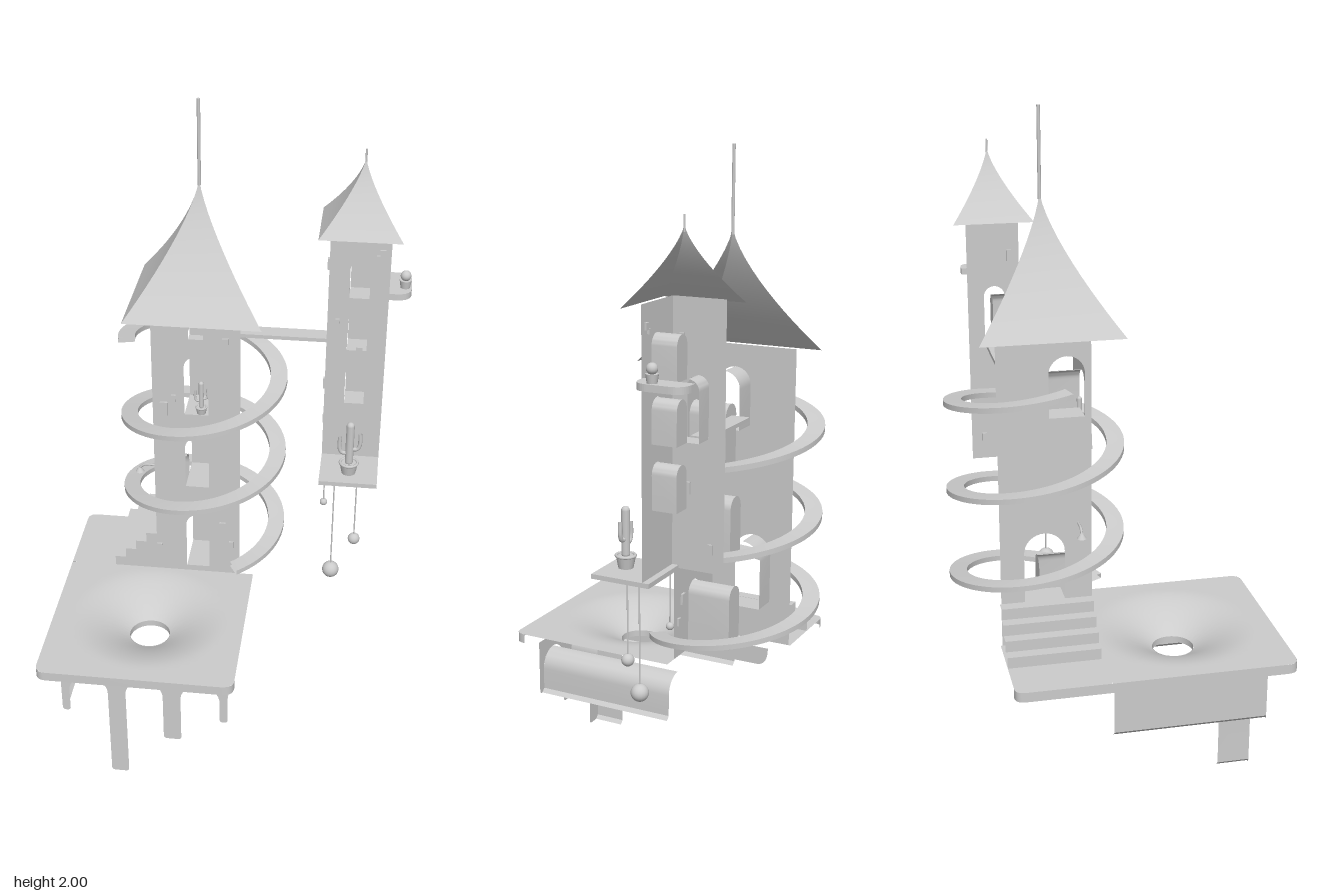
import * as THREE from 'three';
import { toCreasedNormals } from 'three/addons/utils/BufferGeometryUtils.js';

const grey = new THREE.MeshStandardMaterial({ color: 0xcccccc, side: THREE.DoubleSide });
const V = (x, y, z) => new THREE.Vector3(x, y, z);

function add(parent, name, geo, x = 0, y = 0, z = 0) {
  const mesh = new THREE.Mesh(geo, grey);
  mesh.name = name;
  mesh.position.set(x, y, z);
  parent.add(mesh);
  return mesh;
}

// Surface through rows of points
function grid(rows, crease = 0.6) {
  const n = rows[0].length, index = [];
  for (let i = 0; i < rows.length - 1; i++) for (let j = 0; j < n - 1; j++) {
    const a = i * n + j, b = a + n;
    index.push(a, b, a + 1, a + 1, b, b + 1);
  }
  const geo = new THREE.BufferGeometry().setFromPoints(rows.flat());
  geo.setIndex(index);
  geo.computeVertexNormals();
  return toCreasedNormals(geo, crease);
}

// Polyline swept along a direction
const sheet = (pts, dir) => grid([pts, pts.map(p => p.clone().add(dir))]);

// Arch outline: sill, one jamb, round head, other jamb
function archPoints(u, y0, y1, hw, full, side = 1) {
  const pts = [[u - side * hw, y0], [u + side * hw, y0]];
  const steps = full ? 16 : 8;
  for (let i = 0; i <= steps; i++) {
    const a = i / 16 * Math.PI;
    pts.push([u + side * hw * Math.cos(a), y1 - hw + hw * Math.sin(a)]);
  }
  return pts.map(p => new THREE.Vector2(...p));
}

// Wall in the local xy plane with arched openings; only one jamb of each recess is built
function wall(parent, name, u0, u1, y0, y1, openings, side) {
  const g = new THREE.Group();
  g.name = name;
  const shape = new THREE.Shape([[u0, y0], [u1, y0], [u1, y1], [u0, y1]].map(p => new THREE.Vector2(...p)));
  for (const [u, b, t, hw, depth, closed] of openings) {
    const outline = archPoints(u, b, t, hw, true);
    shape.holes.push(new THREE.Path(outline));
    add(g, 'windowJamb', sheet(archPoints(u, b, t, hw, false, side).map(p => V(p.x, p.y, 0)), V(0, 0, -depth)));
    if (closed) add(g, 'windowBack', new THREE.ShapeGeometry(new THREE.Shape(outline)), 0, 0, -depth);
  }
  add(g, name + 'Panel', new THREE.ShapeGeometry(shape));
  parent.add(g);
  return g;
}

// Two concave faces of a four-sided roof, plus its spire
function roof(parent, name, x, z, y0, y1, r, tip, spireR) {
  const g = new THREE.Group();
  g.name = name;
  const rows = [];
  for (let i = 0; i <= 12; i++) {
    const t = i / 12, h = r * Math.pow(1 - t, 1.4), y = y0 + (y1 - y0) * t;
    rows.push([V(h, y, h), V(-h, y, h)]);
  }
  for (const turn of [0, -Math.PI / 2]) add(g, 'roofFace', grid(rows)).rotation.y = turn;
  add(g, 'spire', new THREE.CylinderGeometry(spireR, spireR, tip - y1 + 0.02, 8), 0, (tip + y1) / 2 - 0.01, 0);
  g.position.set(x, 0, z);
  parent.add(g);
}

function cactus(parent, x, y, z, h) {
  const g = new THREE.Group();
  g.name = 'pottedCactus';
  add(g, 'pot', new THREE.CylinderGeometry(h * 0.16, h * 0.12, h * 0.2, 16), 0, h * 0.1, 0);
  add(g, 'potRim', new THREE.TorusGeometry(h * 0.15, h * 0.025, 8, 20), 0, h * 0.2, 0).rotation.x = Math.PI / 2;
  add(g, 'trunk', new THREE.CapsuleGeometry(h * 0.07, h * 0.7, 4, 10), 0, h * 0.58, 0);
  for (const s of [-1, 1]) {
    const y0 = h * (s > 0 ? 0.48 : 0.4);
    const arm = new THREE.CatmullRomCurve3([V(0, y0, 0), V(s * h * 0.13, y0, 0), V(s * h * 0.17, y0 + h * 0.08, 0), V(s * h * 0.17, y0 + h * 0.3, 0)]);
    add(g, 'arm', new THREE.TubeGeometry(arm, 12, h * 0.035, 8));
  }
  g.position.set(x, y, z);
  parent.add(g);
}

function platform(parent) {
  // Terrace top sinking into a round drain
  const s = new THREE.Shape();
  s.moveTo(0.075, -0.08); s.lineTo(0.075, 0.44);
  s.quadraticCurveTo(0.075, 0.475, 0.04, 0.475); s.lineTo(-0.49, 0.475);
  s.quadraticCurveTo(-0.525, 0.475, -0.525, 0.44); s.lineTo(-0.525, -0.08); s.lineTo(0.075, -0.08);
  const rim = s.getSpacedPoints(144), rows = [];
  for (let i = 0; i <= 20; i++) {
    const v = Math.pow(i / 20, 1.4);
    rows.push(rim.map(p => {
      const a = Math.atan2(p.y - 0.175, p.x + 0.225);
      const x = THREE.MathUtils.lerp(0.063 * Math.cos(a), p.x + 0.225, v);
      const z = THREE.MathUtils.lerp(0.063 * Math.sin(a), p.y - 0.175, v);
      const f = Math.min(1, Math.max(0, (Math.hypot(x, z) - 0.063) / 0.18));
      return V(x - 0.225, 0.45 - 0.07 * Math.pow(1 - f, 1.7), z + 0.175);
    }));
  }
  add(parent, 'terraceBowl', grid(rows, 1));
  add(parent, 'drain', new THREE.CylinderGeometry(0.063, 0.063, 0.02, 32, 1, true), -0.225, 0.372, 0.175);

  // Back strip and the edge along front and right
  const b = new THREE.Shape();
  b.moveTo(-0.24, 0.08); b.lineTo(-0.525, 0.08); b.lineTo(-0.525, 0.325);
  b.quadraticCurveTo(-0.525, 0.355, -0.495, 0.355); b.lineTo(-0.24, 0.355);
  add(parent, 'terraceBack', new THREE.ShapeGeometry(b), 0, 0.45, 0).rotation.x = -Math.PI / 2;
  const e = new THREE.Path();
  e.moveTo(0.075, 0.44); e.quadraticCurveTo(0.075, 0.475, 0.04, 0.475); e.lineTo(-0.49, 0.475);
  e.quadraticCurveTo(-0.525, 0.475, -0.525, 0.44); e.lineTo(-0.525, -0.325);
  e.quadraticCurveTo(-0.525, -0.355, -0.495, -0.355);
  add(parent, 'terraceEdge', sheet(e.getPoints(8).map(p => V(p.x, 0.45, p.y)), V(0, -0.03, 0)));

  // Arcade below: front face, then the depth of each pillar
  const pillars = [[-0.465, -0.44, 0.24, 0.46], [-0.32, -0.265, 0, 0.1], [-0.15, -0.095, 0.155, 0.1], [0.025, 0.05, 0.24, 0.46]];
  const front = new THREE.Shape();
  front.moveTo(-0.465, 0.42);
  pillars.forEach(([l, r, y, depth], i) => {
    const c = 0.012;
    front.lineTo(l, y + c); front.quadraticCurveTo(l, y, l + c, y);
    front.lineTo(r - c, y); front.quadraticCurveTo(r, y, r, y + c);
    const next = pillars[i + 1], prev = pillars[i - 1];
    if (next) {
      const hw = (next[0] - r) / 2;
      front.lineTo(r, 0.38 - hw);
      front.absarc(r + hw, 0.38 - hw, hw, Math.PI, 0, true);
    }
    const jamb = [V(l + c, y, 0.4), V(l, y + c, 0.4)];
    if (prev) {
      const hw = (l - prev[1]) / 2;
      for (let k = 0; k <= 8; k++) {
        const a = k / 16 * Math.PI;
        jamb.push(V(l - hw + hw * Math.cos(a), 0.38 - hw + hw * Math.sin(a), 0.4));
      }
    } else jamb.push(V(l, 0.42, 0.4));
    add(parent, 'pillarSide', sheet(jamb, V(0, 0, -depth)));
  });
  front.lineTo(0.05, 0.42);
  add(parent, 'arcadeFront', new THREE.ShapeGeometry(front, 12), 0, 0, 0.4);

  // Rounded bracket beneath the back
  const k = new THREE.Shape();
  k.moveTo(-0.02, 0.42); k.lineTo(-0.02, 0.36); k.lineTo(-0.235, 0.36);
  k.quadraticCurveTo(-0.275, 0.36, -0.275, 0.42);
  add(parent, 'bracket', new THREE.ShapeGeometry(k), -0.25, 0, 0).rotation.y = -Math.PI / 2;

  // Stairs up to the side door
  const steps = [V(-0.38, 0.45, -0.08)];
  for (let i = 0; i < 4; i++) steps.push(V(-0.38 + i * 0.035, 0.484 + i * 0.034, -0.08), V(-0.345 + i * 0.035, 0.484 + i * 0.034, -0.08));
  add(parent, 'stairs', sheet(steps, V(0, 0, -0.275)));
  const side = new THREE.Shape([...steps, V(-0.24, 0.45, 0)].map(p => new THREE.Vector2(p.x, p.y)));
  add(parent, 'stairSide', new THREE.ShapeGeometry(side), 0, 0, -0.08);
}

export function createModel() {
  const model = new THREE.Group();
  model.name = 'twinTowers';
  platform(model);

  // Main tower
  const main = new THREE.Group();
  main.name = 'mainTower';
  model.add(main);
  wall(main, 'mainFrontWall', -0.24, 0.03, 0.45, 1.4, [[-0.105, 0.47, 0.67, 0.037, 0.14, 1], [-0.105, 0.78, 0.96, 0.037, 0.14, 1],
    [-0.105, 1.045, 1.245, 0.037, 0.12, 1], [-0.105, 1.305, 1.35, 0.0224, 0.03, 1]], 1).position.z = -0.08;
  const mainSide = wall(main, 'mainSideWall', -0.35, -0.08, 0.45, 1.4, [[-0.22, 0.585, 0.8, 0.06, 0.08, 0], [-0.15, 1.15, 1.33, 0.052, 0.08, 0]], -1);
  mainSide.rotation.y = -Math.PI / 2;
  mainSide.position.x = -0.24;
  roof(main, 'mainRoof', -0.105, -0.197, 1.39, 1.765, 0.205, 2, 0.005);

  // Spiral ramp around the main tower
  const ramp = [];
  for (let i = 0; i <= 195; i++) {
    const deg = 60 - i * 5, a = THREE.MathUtils.degToRad(deg), y = 0.57 - deg / 360 * 0.27;
    ramp.push([[0.21, 0], [0.262, 0], [0.262, -0.016], [0.21, -0.016], [0.21, 0]]
      .map(([r, d]) => V(-0.101 + r * Math.cos(a), y + d, -0.221 + r * Math.sin(a))));
  }
  add(model, 'spiralRamp', grid(ramp));
  add(model, 'bridge', new THREE.BoxGeometry(0.27, 0.012, 0.056), 0.145, 1.234, -0.284);

  // Hanging tower
  const small = new THREE.Group();
  small.name = 'hangingTower';
  model.add(small);
  wall(small, 'smallFrontWall', 0.278, 0.457, 0.85, 1.62, [[0.37, 1.05, 1.18, 0.03, 0.075, 1], [0.37, 1.235, 1.36, 0.03, 0.075, 1],
    [0.37, 1.41, 1.535, 0.03, 0.075, 1]], 1).position.z = -0.2;
  const smallSide = wall(small, 'smallSideWall', -0.36, -0.2, 0.85, 1.62, [[-0.278, 1.235, 1.41, 0.032, 0.06, 0]], -1);
  smallSide.rotation.y = -Math.PI / 2;
  smallSide.position.x = 0.278;
  roof(small, 'smallRoof', 0.367, -0.278, 1.61, 1.82, 0.1225, 1.845, 0.003);
  add(small, 'balconyFloor', new THREE.BoxGeometry(0.179, 0.014, 0.18), 0.3675, 0.852, -0.13);
  cactus(small, 0.367, 0.86, -0.1, 0.18);

  // Round-ended side balcony
  const d = new THREE.Shape();
  d.moveTo(0.457, 0.205); d.lineTo(0.475, 0.205); d.quadraticCurveTo(0.523, 0.205, 0.523, 0.25);
  d.lineTo(0.523, 0.312); d.quadraticCurveTo(0.523, 0.357, 0.475, 0.357); d.lineTo(0.457, 0.357);
  add(small, 'sideBalcony', new THREE.ExtrudeGeometry(d, { depth: 0.02, bevelEnabled: false }), 0, 1.408, 0).rotation.x = -Math.PI / 2;
  add(small, 'balconyPot', new THREE.CylinderGeometry(0.018, 0.014, 0.025, 16), 0.503, 1.44, -0.256);
  add(small, 'balconyPlant', new THREE.SphereGeometry(0.016, 14, 10), 0.503, 1.466, -0.256);

  // Balls on strings
  for (const [x, y, z, r] of [[0.29, 0.675, -0.2, 0.012], [0.325, 0.466, -0.12, 0.027], [0.395, 0.595, -0.12, 0.019]]) {
    add(small, 'string', new THREE.CylinderGeometry(0.0025, 0.0025, 0.848 - y, 6), x, (0.848 + y) / 2, z);
    add(small, 'hangingBall', new THREE.SphereGeometry(r, 18, 12), x, y, z);
  }

  // Loose stones and a plant on the main tower, with a lamp on its side
  cactus(main, -0.09, 1.05, -0.085, 0.11);
  for (const [x, y, z, w, h] of [[-0.015, 1.305, -0.08, 0.02, 0.02], [-0.205, 1.063, -0.08, 0.024, 0.045], [-0.175, 1.1, -0.08, 0.014, 0.025],
    [-0.025, 0.632, -0.08, 0.02, 0.035], [0.003, 0.565, -0.08, 0.014, 0.024], [-0.23, 0.54, -0.08, 0.016, 0.024],
    [0.432, 1.56, -0.2, 0.016, 0.02], [0.42, 1.545, -0.2, 0.012, 0.014], [0.378, 1.243, -0.2, 0.02, 0.012], [0.308, 1.33, -0.2, 0.012, 0.02],
    [0.278, 1.505, -0.23, 0.014, 0.035], [0.278, 1.09, -0.25, 0.014, 0.035], [0.278, 0.92, -0.32, 0.014, 0.03]])
    add(model, 'stone', new THREE.BoxGeometry(w, h, 0.014), x, y, z);
  const arm = new THREE.CatmullRomCurve3([V(-0.24, 0.825, -0.12), V(-0.28, 0.825, -0.12), V(-0.295, 0.812, -0.12)]);
  add(main, 'lampArm', new THREE.TubeGeometry(arm, 10, 0.004, 6));
  add(main, 'lampShade', new THREE.CylinderGeometry(0.005, 0.014, 0.014, 12), -0.295, 0.806, -0.12);
  return model;
}
